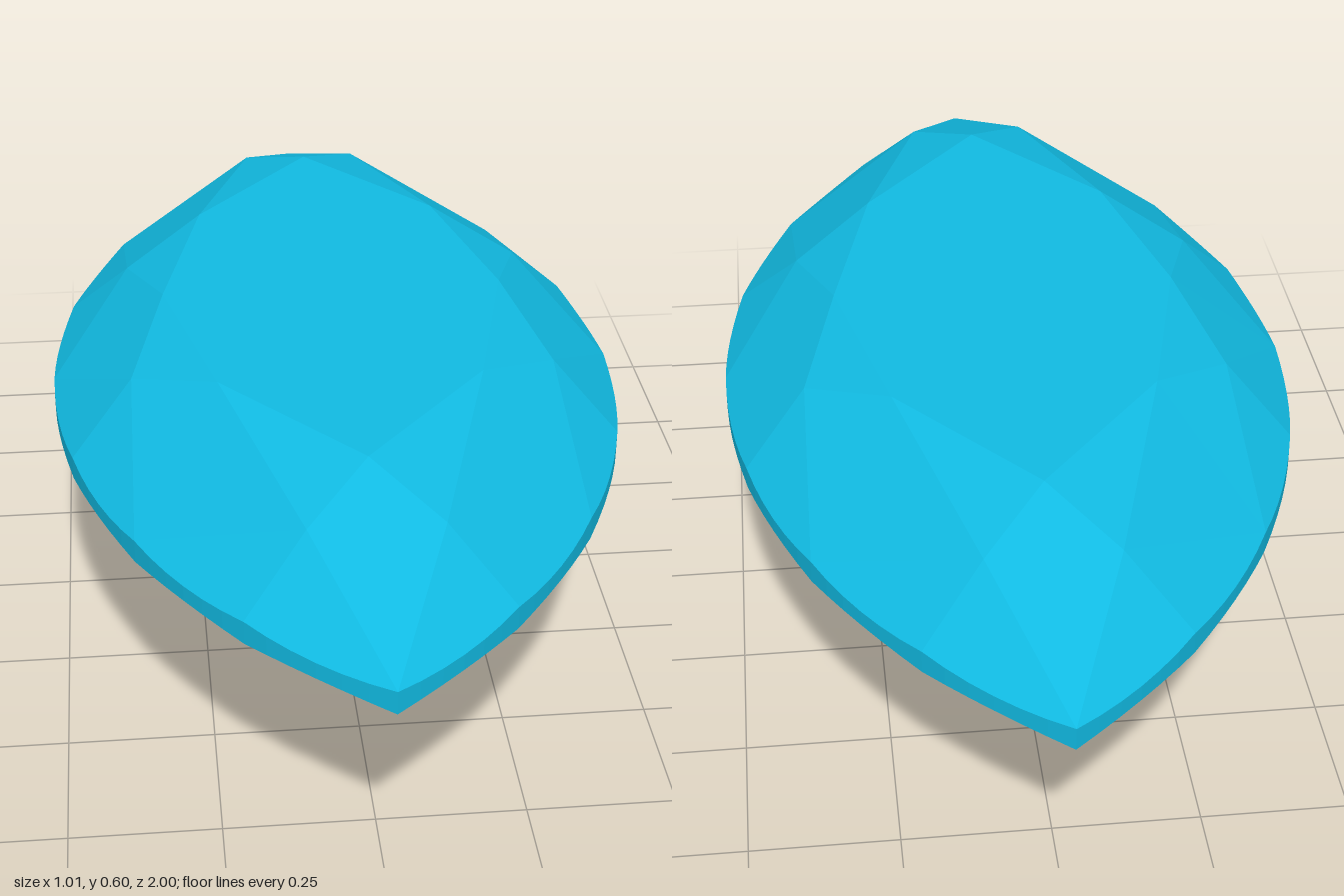
import * as THREE from 'three';

const HALF_WIDTH = 0.503, GIRDLE_TOP = 0.44, GIRDLE_BOTTOM = 0.4, TABLE_Y = 0.6;
const R = (1 + HALF_WIDTH ** 2) / (2 * HALF_WIDTH); // radius of each side arc
const HALF_ANGLE = Math.asin(1 / R);
const STEPS = 6; // rim points per girdle facet

// Pointed oval outline: t runs 0..16, from the front tip over +x, the back tip and -x
function outline(t, y, scale = 1) {
  t = ((t % 16) + 16) % 16;
  const sign = t >= 8 ? -scale : scale;
  const a = ((t % 8) - 4) / 4 * HALF_ANGLE;
  return new THREE.Vector3(sign * (R * Math.cos(a) - R + HALF_WIDTH), y, -sign * R * Math.sin(a));
}

// Rim of one girdle facet: its plane (through apex) cut by the curved wall
function rim(t, apex, y) {
  const plane = new THREE.Plane().setFromCoplanarPoints(apex, outline(t, y), outline(t + 1, y));
  const n = plane.normal;
  return Array.from({ length: STEPS + 1 }, (_, i) => {
    const p = outline(t + i / STEPS, y);
    p.y = -(n.x * p.x + n.z * p.z + plane.constant) / n.y;
    return p;
  });
}

// Adds a convex polygon as a fan of triangles
function face(out, points, flip = false) {
  for (let i = 1; i < points.length - 1; i++) {
    const tri = [points[0], points[i], points[i + 1]];
    if (flip) tri.reverse();
    tri.forEach((p) => out.push(p.x, p.y, p.z));
  }
}

export function createModel() {
  const group = new THREE.Group();
  group.name = 'gem';
  const material = new THREE.MeshStandardMaterial({ color: 0x11bbe3, flatShading: true });
  const add = (name, positions) => {
    const geometry = new THREE.BufferGeometry();
    geometry.setAttribute('position', new THREE.Float32BufferAttribute(positions, 3));
    geometry.computeVertexNormals();
    const mesh = new THREE.Mesh(geometry, material);
    mesh.name = name;
    group.add(mesh);
  };

  const table = [], crown = [], girdle = [], pavilion = [];
  const culet = new THREE.Vector3(0, 0, 0);
  const eight = [0, 1, 2, 3, 4, 5, 6, 7];

  // Corner rings: table, crown middle and lower pavilion
  const T = eight.map((j) => outline(2 * j, TABLE_Y, 0.6));
  const quarter = [[0.108, 0.725], [0.364, 0.218], [0.364, -0.218], [0.108, -0.725]];
  const M = eight.map((j) => {
    const s = j < 4 ? 1 : -1, [x, z] = quarter[j % 4];
    return new THREE.Vector3(s * x, 0.55, s * z);
  });
  const N = eight.map((j) => outline(2 * j, 0.077, 0.2));

  face(table, T);
  for (const j of eight) {
    const next = (j + 1) % 8, prev = (j + 7) % 8;
    // Crown star and kite facets
    face(crown, [T[j], M[j], T[next]]);
    face(crown, [T[j], M[prev], outline(2 * j, GIRDLE_TOP), M[j]]);
    // Pavilion kite down to the culet
    face(pavilion, [culet, N[j], outline(2 * j + 1, GIRDLE_BOTTOM), N[next]], true);
    // Facets along the girdle and the scalloped wall between them
    for (const t of [2 * j, 2 * j + 1]) {
      const low = N[t % 2 ? next : j];
      const top = rim(t, M[j], GIRDLE_TOP);
      const bottom = rim(t, low, GIRDLE_BOTTOM);
      face(crown, [M[j], ...top]);
      face(pavilion, [low, ...bottom], true);
      for (let i = 0; i < STEPS; i++) face(girdle, [bottom[i], bottom[i + 1], top[i + 1], top[i]]);
    }
  }

  add('table', table);
  add('crown', crown);
  add('girdle', girdle);
  add('pavilion', pavilion);
  return group;
}
